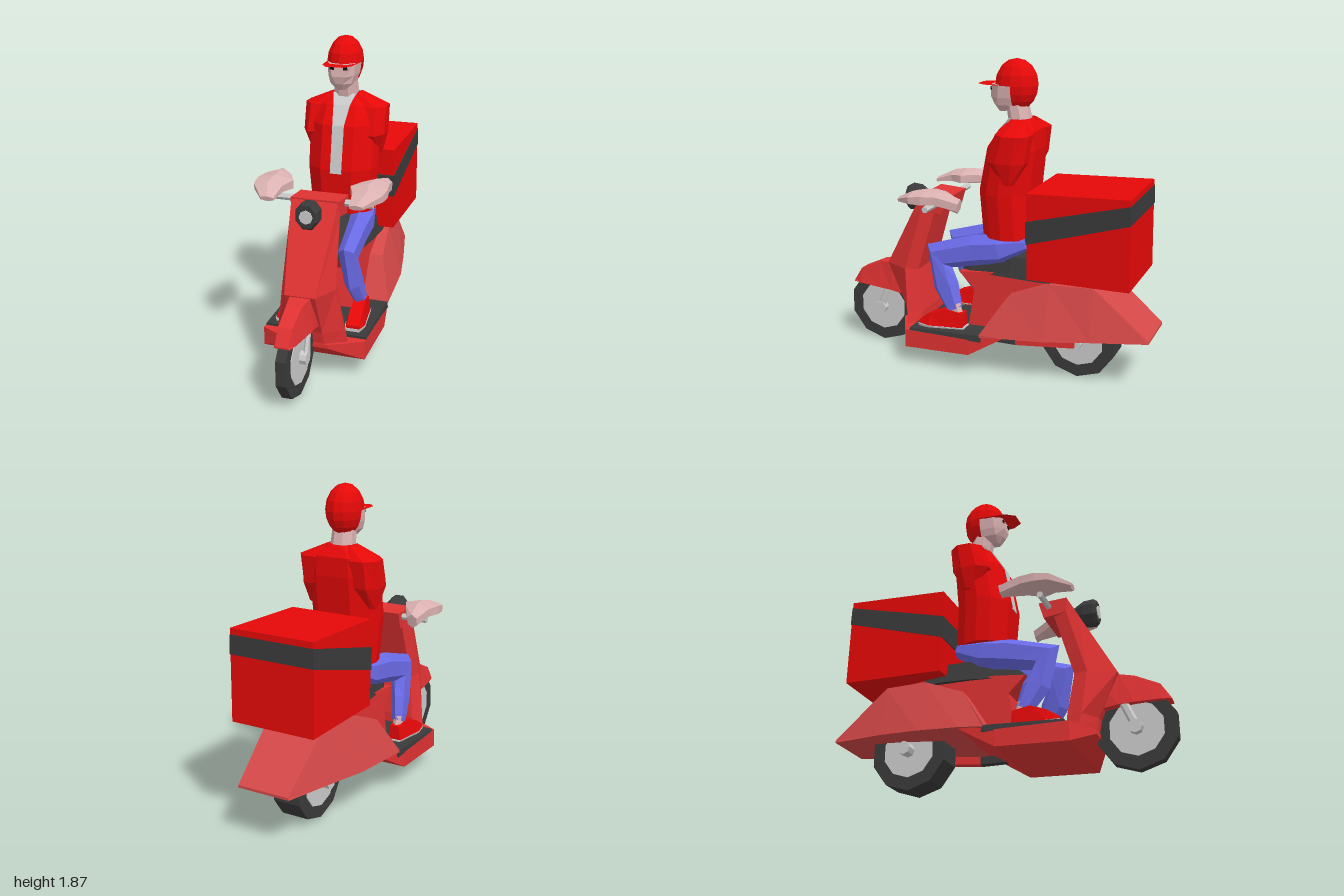
import * as THREE from 'three';

const COLORS = {
  red: 0xe60808, scooter: 0xe03232, panel: 0xd64848, dark: 0x3a3a3a, grey: 0xcccccc,
  jeans: 0x6a6ae6, skin: 0xdcb2b2, black: 0x111111,
};
const mats = {};
const mat = (name) => (mats[name] ??= new THREE.MeshStandardMaterial({
  color: COLORS[name], flatShading: true, side: THREE.DoubleSide,
}));

export function createModel() {
  const model = new THREE.Group();

  const add = (name, geometry, color, parent = model) => {
    const mesh = new THREE.Mesh(geometry, mat(color));
    mesh.name = name;
    parent.add(mesh);
  };

  // Skin a closed solid over rings of equal point count, with capped ends
  const loft = (rings) => {
    const n = rings[0].length, tris = [];
    for (let r = 0; r < rings.length - 1; r++) {
      for (let i = 0; i < n; i++) {
        const j = (i + 1) % n, a = rings[r], b = rings[r + 1];
        tris.push([a[i], a[j], b[j]], [a[i], b[j], b[i]]);
      }
    }
    const first = rings[0], last = rings[rings.length - 1];
    for (let i = 1; i < n - 1; i++) {
      tris.push([first[0], first[i + 1], first[i]], [last[0], last[i], last[i + 1]]);
    }
    // Turn the faces outward if the enclosed volume is negative
    const v = (p) => new THREE.Vector3(...p);
    const volume = tris.reduce((s, [a, b, c]) => s + v(a).dot(v(b).cross(v(c))), 0);
    if (volume < 0) tris.forEach((t) => t.reverse());
    const g = new THREE.BufferGeometry();
    g.setAttribute('position', new THREE.Float32BufferAttribute(tris.flat(2), 3));
    g.computeVertexNormals();
    return g;
  };

  // Sections along z: [z, top y, top half width, bottom y, bottom half width, centre x]
  const hull = (sections) => loft(sections.map(([z, yt, wt, yb, wb, x = 0]) => [
    [x - wt, yt, z], [x + wt, yt, z], [x + wb, yb, z], [x - wb, yb, z]]));

  // Rounded limb along points [x, y, z, radius across x, radius in the side plane]
  const limb = (points, sides = 6) => loft(points.map(([x, y, z, rx, r], i) => {
    const a = points[Math.max(i - 1, 0)], b = points[Math.min(i + 1, points.length - 1)];
    const len = Math.hypot(b[1] - a[1], b[2] - a[2]);
    const ny = -(b[2] - a[2]) / len, nz = (b[1] - a[1]) / len;
    return Array.from({ length: sides }, (_, k) => {
      const t = ((k + 0.5) / sides) * Math.PI * 2;
      return [x + rx * Math.cos(t), y + ny * r * Math.sin(t), z + nz * r * Math.sin(t)];
    });
  }));

  // Side profile [z, y] stretched to half width w
  const slab = (profile, w) => loft([-w, w].map((x) => profile.map(([z, y]) => [x, y, z])));

  const barX = (r, length, sides) =>
    new THREE.CylinderGeometry(r, r, length, sides).rotateZ(Math.PI / 2);

  // Wheels
  const wheel = (name, z, halfWidth, axle) => {
    const group = new THREE.Group();
    group.name = name;
    group.position.set(0, 0.238, z);
    model.add(group);
    const turn = Math.PI / 2;
    add('tyre', barX(0.234, halfWidth * 2, 10).rotateX(turn), 'dark', group);
    add('rim', barX(0.158, halfWidth * 2 + 0.01, 10).rotateX(turn), 'grey', group);
    add('axle', barX(0.04, axle * 2, 8), 'grey', group);
  };
  wheel('frontWheel', 0.783, 0.03, 0.075);
  wheel('rearWheel', -0.555, 0.085, 0.16);

  // Front end
  add('frontFender', hull([
    [0.985, 0.39, 0.035, 0.38, 0.045], [0.93, 0.475, 0.04, 0.38, 0.06],
    [0.79, 0.54, 0.045, 0.375, 0.075], [0.7, 0.555, 0.06, 0.37, 0.08],
    [0.58, 0.52, 0.08, 0.35, 0.08]]), 'scooter');
  // Rows: [y, front z, front half width, middle z, middle half width, back z]
  add('legShield', loft([
    [0.2, 0.57, 0.1, 0.5, 0.22, 0.43], [0.3, 0.59, 0.09, 0.52, 0.2, 0.43],
    [0.56, 0.705, 0.09, 0.55, 0.16, 0.47],
    [0.93, 0.5, 0.13, 0.44, 0.146, 0.36], [1.03, 0.445, 0.138, 0.41, 0.145, 0.31],
  ].map(([y, zf, wf, zm, wm, zb]) => [
    [wf, y, zf], [wm, y, zm], [wm * 0.85, y, zb],
    [-wm * 0.85, y, zb], [-wm, y, zm], [-wf, y, zf]])), 'scooter');
  add('dashboard', slab([[0.44, 1.04], [0.27, 1.03], [0.3, 0.93], [0.43, 0.95]], 0.145), 'scooter');
  add('handlebar', barX(0.02, 0.62, 6).translate(0, 1.0, 0.33), 'grey');
  add('headlightHousing', loft([[0.43, 0.035], [0.51, 0.08], [0.57, 0.085], [0.59, 0.07]].map(([z, r]) =>
    Array.from({ length: 8 }, (_, k) => {
      const t = ((k + 0.5) / 8) * Math.PI * 2;
      return [r * 0.85 * Math.cos(t), 0.985 + r * Math.sin(t), z];
    }))), 'dark');
  add('headlightLens', new THREE.CylinderGeometry(0.04, 0.04, 0.02, 8)
    .rotateX(Math.PI / 2).translate(0, 0.985, 0.585), 'grey');

  // Floor, body and seat
  add('floor', hull([
    [0.58, 0.225, 0.12, 0.2, 0.12], [0.48, 0.225, 0.31, 0.113, 0.31],
    [0.06, 0.225, 0.31, 0.127, 0.31], [-0.17, 0.28, 0.28, 0.265, 0.28]]), 'scooter');
  add('floorMat', hull([[0.45, 0.24, 0.305, 0.22, 0.31], [-0.02, 0.26, 0.305, 0.22, 0.31]]), 'dark');
  add('underSeatBody', slab([[0.085, 0.49], [0.125, 0.25], [-0.2, 0.27], [-0.6, 0.4],
    [-0.67, 0.612], [-0.42, 0.638], [-0.2, 0.63], [0.185, 0.59]], 0.15), 'scooter');
  add('rearPanels', hull([
    [-0.01, 0.265, 0.31, 0.25, 0.31], [-0.16, 0.5, 0.235, 0.265, 0.305],
    [-0.41, 0.605, 0.205, 0.28, 0.29], [-0.67, 0.61, 0.18, 0.3, 0.24],
    [-1.0, 0.33, 0.16, 0.315, 0.165]]), 'panel');
  add('seat', hull([
    [0.185, 0.6, 0.09, 0.585, 0.1], [0.12, 0.66, 0.11, 0.59, 0.13],
    [-0.15, 0.725, 0.14, 0.6, 0.17], [-0.33, 0.72, 0.15, 0.6, 0.18],
    [-0.44, 0.63, 0.15, 0.6, 0.17]]), 'dark');

  // Swing arm, on the left of the rear wheel only
  add('swingArm', hull([[-0.19, 0.225, 0.025, 0.18, 0.025, 0.15],
    [-0.56, 0.265, 0.025, 0.22, 0.025, 0.15]]), 'scooter');
  add('swingArmMount', hull([[0.0, 0.225, 0.025, 0.18, 0.025, 0.15],
    [-0.19, 0.225, 0.025, 0.18, 0.025, 0.15]]), 'dark');

  // Delivery box with a slanting band
  add('deliveryBox', slab([[-0.285, 1.15], [-0.89, 1.175], [-0.9, 0.645], [-0.295, 0.64]], 0.262), 'red');
  add('boxBand', slab([[-0.282, 0.985], [-0.893, 1.14], [-0.897, 1.03], [-0.286, 0.85]], 0.265), 'dark');

  // Torso rows: [y, front z, back z, half width]
  add('jacket', loft([
    [0.83, 0.05, -0.26, 0.195], [1.1, 0.07, -0.25, 0.215], [1.36, 0.02, -0.275, 0.215],
    [1.47, -0.05, -0.27, 0.2], [1.53, -0.11, -0.22, 0.08],
  ].map(([y, f, b, w]) => {
    const m = (f + b) / 2, q = (f - b) * 0.25;
    return [[w * 0.45, y, f], [w * 0.9, y, m + q], [w, y, m], [w * 0.9, y, m - q], [w * 0.5, y, b],
      [-w * 0.5, y, b], [-w * 0.9, y, m - q], [-w, y, m], [-w * 0.9, y, m + q], [-w * 0.45, y, f]];
  })), 'red');
  add('shirt', loft([[1.08, 0.075, 0.035], [1.36, 0.026, 0.035], [1.47, -0.042, 0.05], [1.53, -0.1, 0.07]]
    .map(([y, z, w]) => [[-w, y, z], [w, y, z], [w, y, z - 0.03], [-w, y, z - 0.03]])), 'grey');

  // Head
  add('neck', limb([[0, 1.46, -0.16, 0.078, 0.07], [0, 1.66, -0.12, 0.068, 0.065]], 8), 'skin');
  add('face', loft([
    [1.565, -0.02, 0.01, -0.06, 0.025], [1.605, 0.008, 0.02, -0.12, 0.065],
    [1.65, 0.02, 0.04, -0.16, 0.078], [1.725, 0.012, 0.055, -0.17, 0.085],
  ].map(([y, f, wf, b, w]) => {
    const m = f - (f - b) * 0.3;
    return [[-wf, y, f], [wf, y, f], [w, y, m], [w, y, b], [-w, y, b], [-w, y, m]];
  })), 'skin');
  const cap = new THREE.Group();
  cap.name = 'cap';
  cap.scale.set(0.107, 0.15, 0.131);
  cap.position.set(0, 1.722, -0.124);
  model.add(cap);
  add('capCrown', new THREE.SphereGeometry(1, 12, 4, 0, Math.PI * 2, 0, Math.PI / 2), 'red', cap);
  add('capBack', new THREE.SphereGeometry(1, 6, 3, Math.PI, Math.PI, Math.PI / 2, Math.PI * 0.31), 'red', cap);
  const peak = new THREE.Shape([[-0.1, -0.1], [0.1, -0.1], [0.09, 0.04], [0.05, 0.1], [-0.05, 0.1], [-0.09, 0.04]]
    .map(([x, z]) => new THREE.Vector2(x, z)));
  add('capPeak', new THREE.ShapeGeometry(peak).rotateX(Math.PI / 2).translate(0, 1.722, 0), 'red');

  // Paired parts
  for (const s of [1, -1]) {
    const side = s > 0 ? 'left' : 'right';
    add(side + 'Eye', new THREE.BoxGeometry(0.024, 0.02, 0.05).translate(s * 0.04, 1.7, -0.007), 'black');
    add(side + 'Fork', limb([[s * 0.06, 0.24, 0.785, 0.014, 0.025],
      [s * 0.06, 0.4, 0.715, 0.014, 0.025]], 6), 'grey');
    // Sleeve rows: [y, inner x, outer x, back z, front z]
    add(side + 'Sleeve', loft([
      [1.53, 0.07, 0.09, -0.21, -0.12], [1.46, 0.1, 0.25, -0.27, -0.07],
      [1.3, 0.12, 0.25, -0.25, -0.02], [1.17, 0.15, 0.22, -0.18, -0.12],
    ].map(([y, xi, xo, b, f]) => [
      [s * xi, y, b], [s * (xi + xo * 2) / 3, y, b], [s * xo, y, b * 0.7 + f * 0.3],
      [s * xo, y, b * 0.3 + f * 0.7], [s * (xi + xo * 2) / 3, y, f], [s * xi, y, f]])), 'red');
    add(side + 'Forearm', limb([[s * 0.325, 1.05, 0.1, 0.035, 0.045], [s * 0.295, 1.078, 0.23, 0.09, 0.048],
      [s * 0.28, 1.075, 0.32, 0.125, 0.05], [s * 0.295, 1.068, 0.4, 0.1, 0.04],
      [s * 0.26, 1.04, 0.51, 0.045, 0.016]]), 'skin');
    add(side + 'Leg', limb([[s * 0.11, 0.81, -0.24, 0.06, 0.04], [s * 0.125, 0.76, -0.08, 0.08, 0.09],
      [s * 0.14, 0.735, 0.08, 0.065, 0.095], [s * 0.155, 0.675, 0.31, 0.055, 0.105],
      [s * 0.175, 0.5, 0.26, 0.05, 0.085], [s * 0.195, 0.365, 0.195, 0.04, 0.055]]), 'jeans');
    add(side + 'Ankle', limb([[s * 0.2, 0.4, 0.19, 0.03, 0.035], [s * 0.2, 0.32, 0.17, 0.03, 0.035]]), 'skin');
    add(side + 'Shoe', hull([[0.41, 0.28, 0.035, 0.255, 0.045, s * 0.215], [0.34, 0.325, 0.04, 0.25, 0.06, s * 0.212],
      [0.24, 0.365, 0.035, 0.25, 0.052, s * 0.205], [0.13, 0.35, 0.03, 0.255, 0.042, s * 0.2]]), 'red');
    add(side + 'Sole', hull([[0.415, 0.262, 0.047, 0.245, 0.04, s * 0.215], [0.34, 0.257, 0.062, 0.235, 0.055, s * 0.212],
      [0.12, 0.262, 0.044, 0.245, 0.04, s * 0.2]]), 'grey');
  }
  return model;
}
